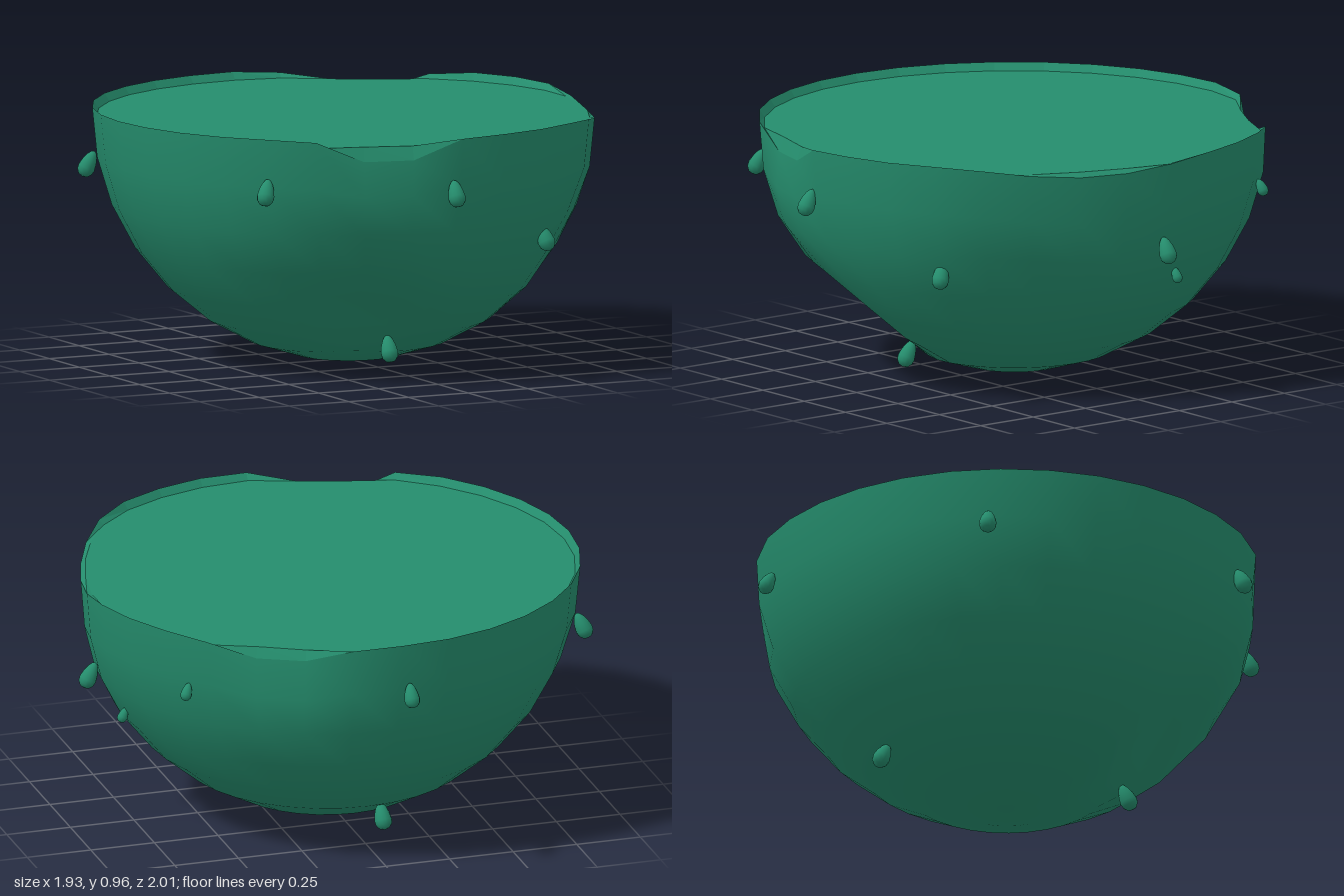
import * as THREE from 'three';
import { mergeVertices } from 'three/addons/utils/BufferGeometryUtils.js';

const R = 0.96, SEG = 32, LID_Y = 0.93;

// Soft dents: centre, radius, push
const dents = [
  [[0.9, 0.92, 0.3], 0.6, [-0.04, -0.05, -0.02]],
  [[-0.28, 0.96, 0.91], 0.32, [0.015, -0.1, -0.055]],
  [[0.45, 0.96, -0.83], 0.36, [-0.03, -0.08, 0.065]],
  [[-0.26, 0.23, 0.58], 0.4, [0.02, 0.055, -0.045]],
  [[0.65, 0.5, 0.5], 0.38, [-0.02, 0.01, -0.02]],
].map(([c, r, p]) => ({ c: new THREE.Vector3(...c), r, p: new THREE.Vector3(...p) }));

function dent(v) {
  const out = v.clone();
  for (const { c, r, p } of dents) {
    const t = v.distanceTo(c) / r;
    if (t < 1) out.addScaledVector(p, (1 - t * t) ** 2);
  }
  return out;
}

function fromTriangles(points) {
  const g = new THREE.BufferGeometry().setFromPoints(points);
  g.computeVertexNormals();
  return g;
}

export function createModel() {
  const group = new THREE.Group();
  const green = new THREE.MeshStandardMaterial({ color: 0x258d6d, side: THREE.DoubleSide });
  green.name = 'green';
  const add = (name, geometry) => {
    const mesh = new THREE.Mesh(geometry, green);
    mesh.name = name;
    group.add(mesh);
    return mesh;
  };

  // Dented half sphere, welded so it shades smoothly
  let bowl = new THREE.SphereGeometry(R, SEG, 8, 0, Math.PI * 2, Math.PI / 2, Math.PI / 2);
  bowl.translate(0, R, 0);
  bowl.deleteAttribute('uv');
  bowl.deleteAttribute('normal');
  bowl = mergeVertices(bowl, 1e-4);
  const pos = bowl.attributes.position;
  const v = new THREE.Vector3();
  for (let i = 0; i < pos.count; i++) {
    const d = dent(v.fromBufferAttribute(pos, i));
    pos.setXYZ(i, d.x, d.y, d.z);
  }
  bowl.computeVertexNormals();
  add('bowlShell', bowl);

  // Sloping rim strip and the flat top it surrounds
  const outer = [], inner = [];
  for (let i = 0; i <= SEG; i++) {
    const a = (i / SEG) * Math.PI * 2;
    const o = dent(new THREE.Vector3(R * Math.cos(a), R, R * Math.sin(a)));
    outer.push(o);
    inner.push(new THREE.Vector3(o.x * 0.98, LID_Y, o.z * 0.98));
  }
  const rim = [], lid = [];
  const centre = new THREE.Vector3(0, LID_Y, 0);
  for (let i = 0; i < SEG; i++) {
    rim.push(outer[i], inner[i], inner[i + 1], outer[i], inner[i + 1], outer[i + 1]);
    lid.push(centre, inner[i + 1], inner[i]);
  }
  add('rim', fromTriangles(rim));
  add('flatTop', fromTriangles(lid));

  // Droplets: x, y, z, scale; tips lean in towards the bowl
  const profile = [[0, -0.052], [0.018, -0.047], [0.03, -0.032], [0.033, -0.014],
    [0.028, 0.012], [0.02, 0.034], [0.01, 0.049], [0, 0.054]];
  const drop = new THREE.LatheGeometry(profile.map(p => new THREE.Vector2(...p)), 14);
  const up = new THREE.Vector3(0, 1, 0);
  const places = [
    [-0.685, 0.76, 0.68, 1], [-0.03, 0.75, 0.96, 1], [0.465, 0.52, 0.715, 1],
    [-0.06, 0.1, 0.46, 1], [0.925, 0.6, 0, 1], [0.83, 0.475, -0.12, 0.6],
    [0.735, 0.73, -0.6, 0.65], [-0.88, 0.74, -0.415, 1], [-0.03, 0.76, -0.97, 0.9],
    [-0.06, 0.11, -0.52, 1],
  ];
  for (const [x, y, z, s] of places) {
    const m = add('droplet', drop);
    m.position.set(x, y, z);
    m.scale.setScalar(s);
    const out = new THREE.Vector3(x, 0, z).normalize();
    m.quaternion.setFromUnitVectors(up, new THREE.Vector3(-out.x * 0.48, 1, -out.z * 0.48).normalize());
  }
  return group;
}
